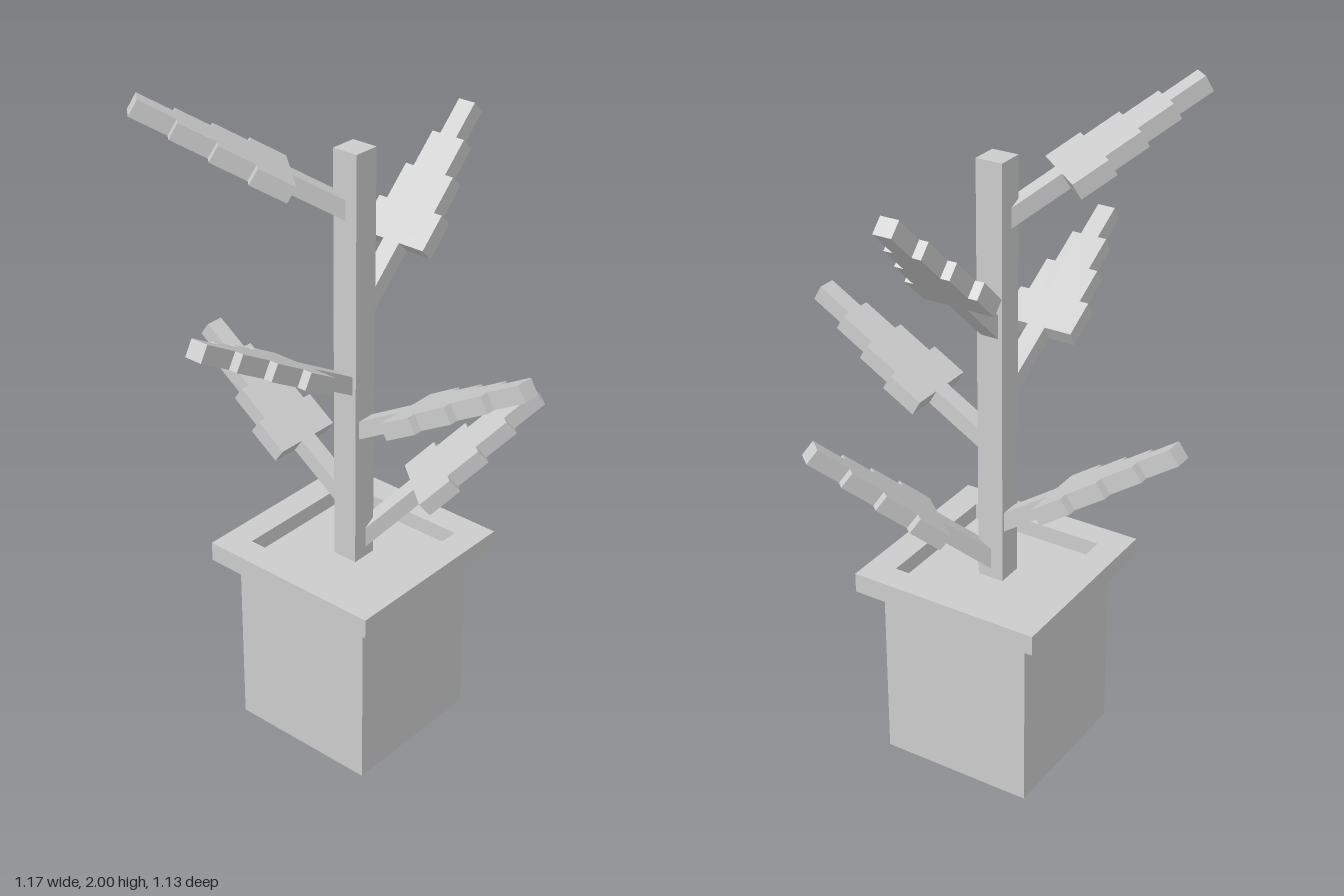
import * as THREE from 'three';

const CX = -0.012, CZ = -0.055; // stem axis
const rad = THREE.MathUtils.degToRad;
const material = new THREE.MeshStandardMaterial({ color: 0xcccccc, flatShading: true });

function add(group, name, geometry, x, y, z) {
  const mesh = new THREE.Mesh(geometry, material);
  mesh.name = name;
  mesh.position.set(x, y, z);
  group.add(mesh);
  return mesh;
}

// Stepped leaf lying along +x: thin stalk, then four ever narrower tiers
function leafGeometry() {
  const step = 0.112, unit = 0.0275, thick = 0.05;
  const edge = [[0, unit], [2 * step, unit]];
  for (let i = 0; i < 4; i++) {
    const half = unit * (4 - i);
    edge.push([(2 + i) * step, half], [(3 + i) * step, half]);
  }
  const lower = edge.map(([x, y]) => [x, -y]);
  const outline = [...lower, ...edge.reverse()].map(([x, y]) => new THREE.Vector2(x, y));
  const geometry = new THREE.ExtrudeGeometry(new THREE.Shape(outline), { depth: thick, bevelEnabled: false });
  return geometry.translate(0, 0, -thick / 2).rotateX(-Math.PI / 2);
}

// Square rim with a square opening
function rimGeometry(outer, inner, height) {
  const square = (s) => [[-s, -s], [s, -s], [s, s], [-s, s]].map(([x, y]) => new THREE.Vector2(x, y));
  const shape = new THREE.Shape(square(outer / 2));
  shape.holes.push(new THREE.Path(square(inner / 2).reverse()));
  return new THREE.ExtrudeGeometry(shape, { depth: height, bevelEnabled: false }).rotateX(-Math.PI / 2);
}

export function createModel() {
  const model = new THREE.Group();
  model.name = 'pottedPlant';

  // Pot
  add(model, 'potBody', new THREE.BoxGeometry(0.47, 0.56, 0.47), CX, 0.28, CZ);
  add(model, 'potRim', rimGeometry(0.585, 0.42, 0.06), CX, 0.56, CZ);
  add(model, 'soil', new THREE.BoxGeometry(0.42, 0.03, 0.42), CX, 0.555, CZ);

  // Stem
  add(model, 'stem', new THREE.BoxGeometry(0.08, 1.27, 0.08), CX, 1.195, CZ);

  // Leaves: base x, y, z, heading around the stem, upward pitch
  const leaf = leafGeometry();
  const leaves = [
    ['leftLeaf', CX, 0.983, -0.058, 0, 30],
    ['rightLeaf', CX - 0.008, 0.74, -0.058, 180, 35],
    ['frontLeaf', CX, 1.137, -0.035, -90, 30],
    ['backLeaf', CX, 1.34, -0.065, 90, 44],
    ['lowerDiagonalLeaf', -0.003, 0.62, -0.066, 49.9, 40],
    ['upperDiagonalLeaf', -0.002, 1.64, -0.066, 229.2, 30],
  ];
  for (const [name, x, y, z, heading, pitch] of leaves) {
    add(model, name, leaf, x, y, z).rotation.set(0, rad(heading), rad(pitch), 'YZX');
  }
  return model;
}
